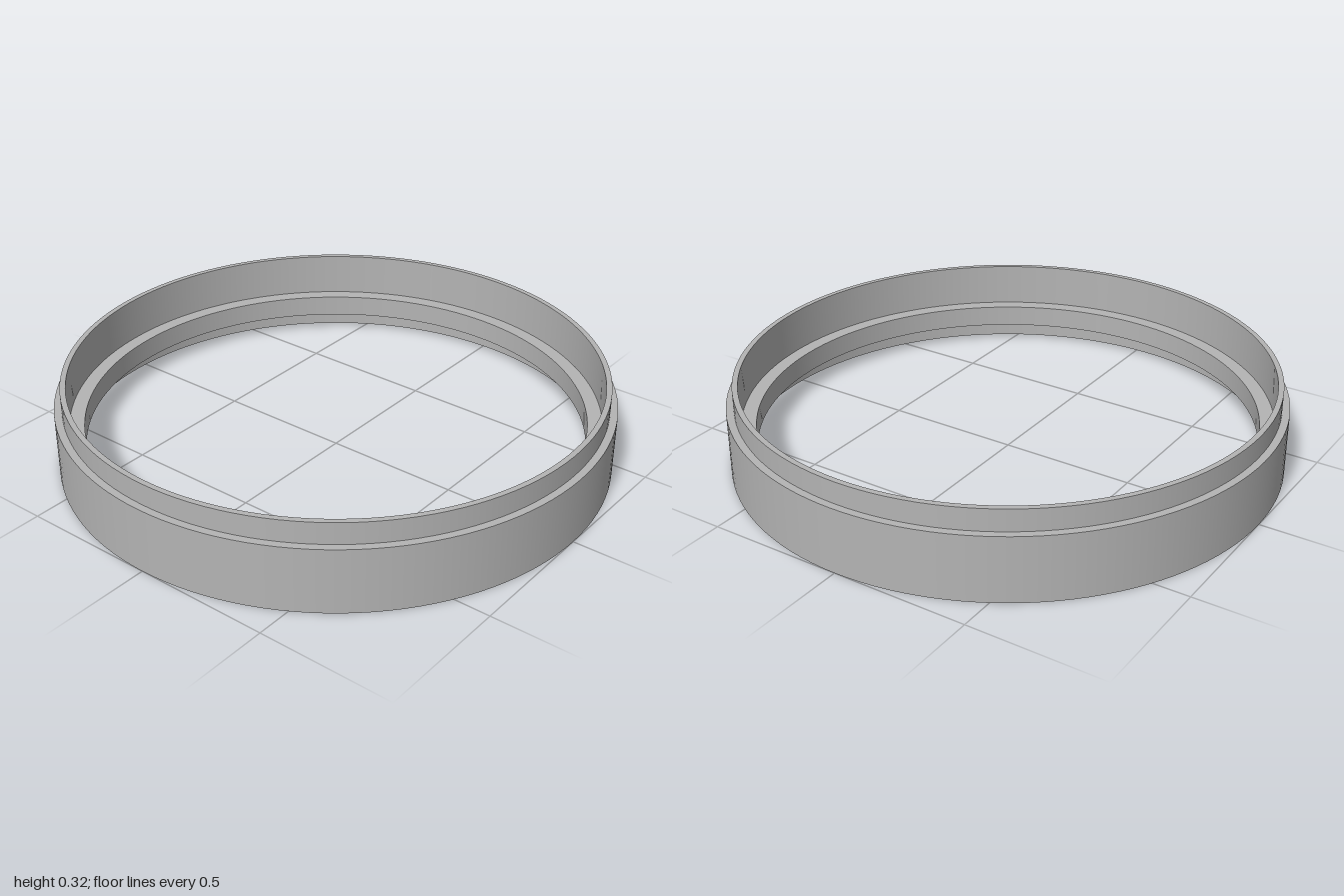
import * as THREE from 'three';

const SEGMENTS = 128;

// One revolved face between two profile points, so every profile corner stays sharp.
function band([r0, y0], [r1, y1], material, name) {
  const points = [new THREE.Vector2(r0, y0), new THREE.Vector2(r1, y1)];
  const mesh = new THREE.Mesh(new THREE.LatheGeometry(points, SEGMENTS), material);
  mesh.name = name;
  return mesh;
}

export function createModel() {
  const group = new THREE.Group();
  group.name = 'stackingRing';

  const grey = new THREE.MeshStandardMaterial({ color: 0xb4b4b4 });
  grey.name = 'grey';

  // Closed cross-section, counter-clockwise: each entry starts the named face.
  const profile = [
    ['bottomRim', 0.98, 0],
    ['outerWall', 1, 0],
    ['shoulder', 1, 0.24],
    ['collarOuterWall', 0.973, 0.24],
    ['collarRim', 0.973, 0.32],
    ['collarInnerWall', 0.953, 0.32],
    ['flangeTop', 0.953, 0.16],
    ['flangeBore', 0.9, 0.16],
    ['flangeUnderside', 0.9, 0.08],
    ['recessWall', 0.98, 0.08],
  ];

  profile.forEach(([name, r, y], i) => {
    const [, nextR, nextY] = profile[(i + 1) % profile.length];
    group.add(band([r, y], [nextR, nextY], grey, name));
  });

  return group;
}
